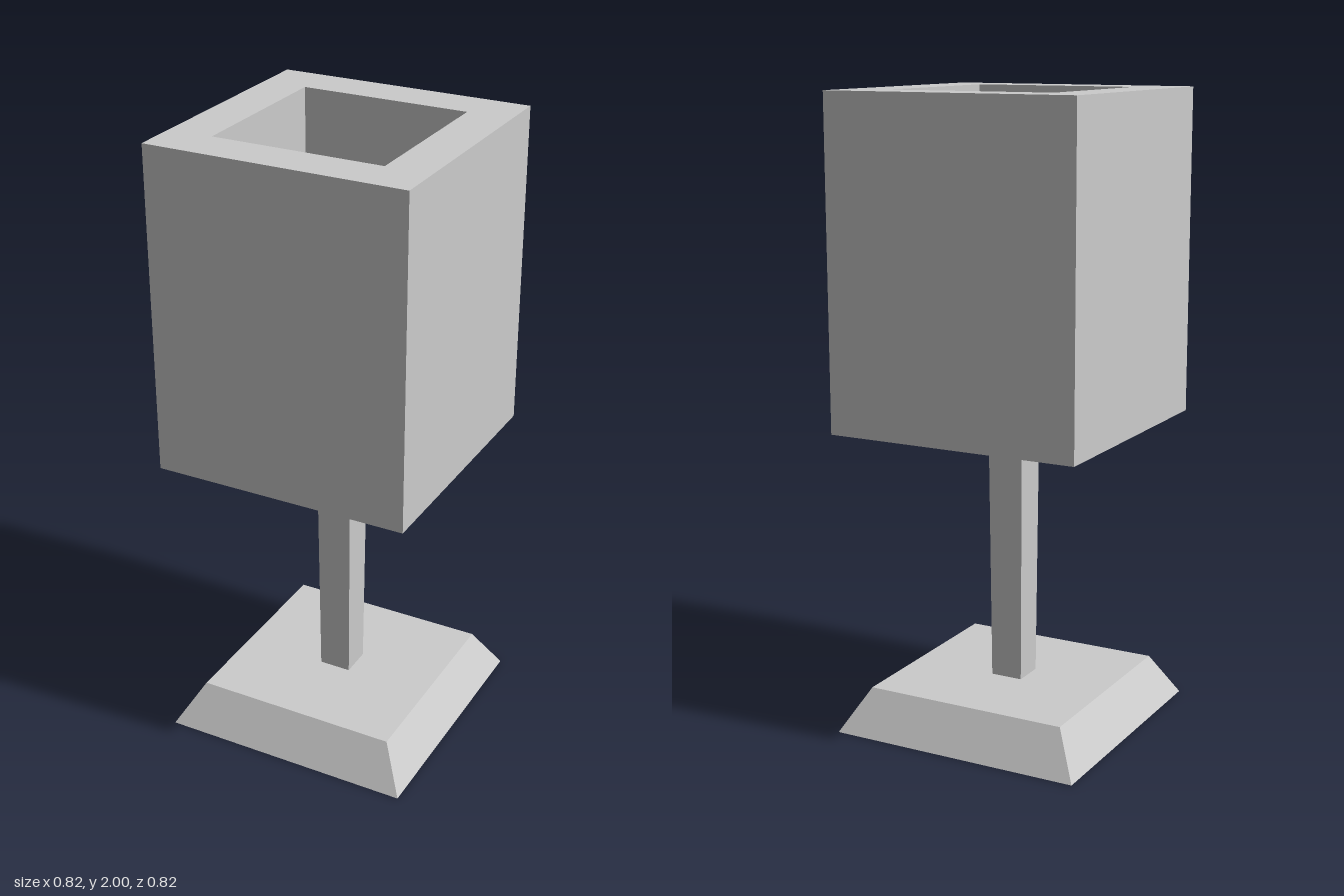
import * as THREE from 'three';

const material = new THREE.MeshStandardMaterial({ color: 0xcccccc, flatShading: true });

// Square tapered block given by its half widths and its bottom and top heights
function taperedBlock(name, halfBottom, halfTop, y0, y1) {
  const geometry = new THREE.CylinderGeometry(halfTop * Math.SQRT2, halfBottom * Math.SQRT2, y1 - y0, 4);
  geometry.rotateY(Math.PI / 4);
  geometry.translate(0, (y0 + y1) / 2, 0);
  const mesh = new THREE.Mesh(geometry, material);
  mesh.name = name;
  return mesh;
}

function square(target, half) {
  target.moveTo(-half, -half);
  target.lineTo(half, -half);
  target.lineTo(half, half);
  target.lineTo(-half, half);
  target.closePath();
  return target;
}

export function createModel() {
  const lamp = new THREE.Group();
  lamp.name = 'tableLamp';

  // Bevelled foot and the post that widens slightly up into the shade
  lamp.add(taperedBlock('base', 0.411, 0.332, 0, 0.138));
  lamp.add(taperedBlock('post', 0.052, 0.063, 0.138, 1.47));

  // Thick square shade, open at both ends
  const outline = square(new THREE.Shape(), 0.411);
  outline.holes.push(square(new THREE.Path(), 0.27));
  const geometry = new THREE.ExtrudeGeometry(outline, { depth: 1.03, bevelEnabled: false });
  geometry.rotateX(-Math.PI / 2);
  geometry.translate(0, 0.97, 0);
  const shade = new THREE.Mesh(geometry, material);
  shade.name = 'shade';
  lamp.add(shade);

  return lamp;
}
